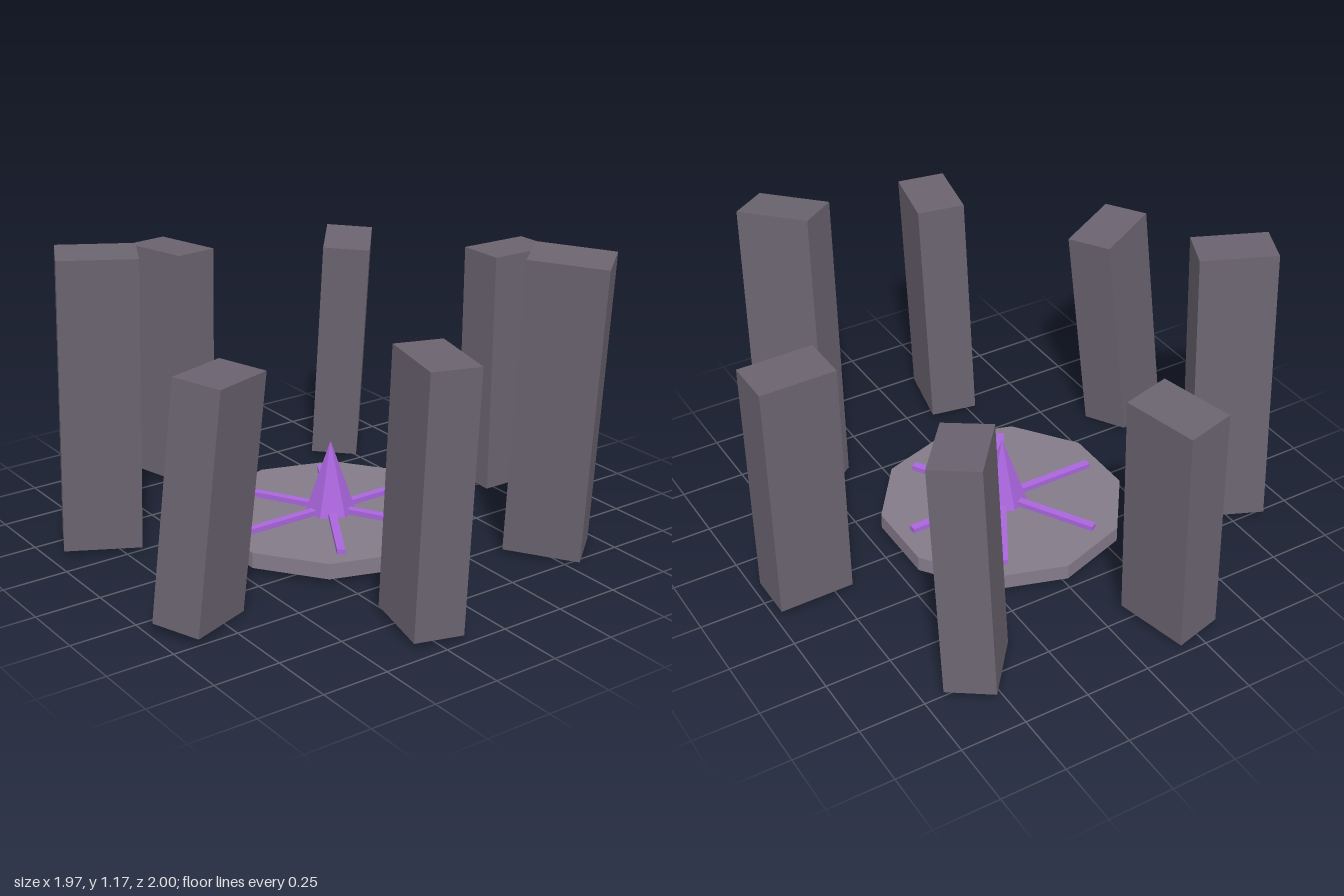
import * as THREE from 'three';

const CENTRE_X = -0.01;
const stoneMat = new THREE.MeshStandardMaterial({ color: 0x6b6470 });
const slabMat = new THREE.MeshStandardMaterial({ color: 0x857b8a });
const glowMat = new THREE.MeshStandardMaterial({ color: 0xaa66dd });
for (const m of [stoneMat, slabMat, glowMat]) m.flatShading = true;

function addMesh(parent, name, geometry, material) {
  const mesh = new THREE.Mesh(geometry, material);
  mesh.name = name;
  parent.add(mesh);
  return mesh;
}

// Base centre [x, z], top centre [x, z] and top height of each leaning stone
const STONES = [
  { base: [0.83, 0], top: [0.84, 0], height: 0.97 },
  { base: [0.535, 0.605], top: [0.497, 0.718], height: 1.16 },
  { base: [-0.215, 0.813], top: [-0.185, 0.835], height: 0.972 },
  { base: [-0.815, 0.356], top: [-0.722, 0.379], height: 0.887 },
  { base: [-0.776, -0.392], top: [-0.772, -0.342], height: 1.138 },
  { base: [-0.217, -0.815], top: [-0.18, -0.84], height: 0.947 },
  { base: [0.517, -0.7], top: [0.52, -0.62], height: 0.92 },
];
const UP = new THREE.Vector3(0, 1, 0);

export function createModel() {
  const model = new THREE.Group();
  model.name = 'stoneCircle';

  // Standing stones: long side points at the centre, each leaning its own way
  const ring = new THREE.Group();
  ring.name = 'standingStones';
  model.add(ring);
  STONES.forEach(({ base, top, height }, i) => {
    const foot = new THREE.Vector3(base[0], 0.02, base[1]);
    const head = new THREE.Vector3(top[0], height, top[1]);
    const axis = head.clone().sub(foot);
    const stone = addMesh(ring, `stone${i + 1}`, new THREE.BoxGeometry(0.287, axis.length(), 0.185), stoneMat);
    stone.position.copy(foot).lerp(head, 0.5);
    const yaw = new THREE.Quaternion().setFromAxisAngle(UP, -i * Math.PI * 2 / STONES.length);
    stone.quaternion.setFromUnitVectors(UP, axis.normalize()).multiply(yaw);
  });

  // Ten-sided altar slab
  const altar = new THREE.Group();
  altar.name = 'altar';
  altar.position.x = CENTRE_X;
  model.add(altar);
  addMesh(altar, 'slab', new THREE.CylinderGeometry(0.472, 0.472, 0.06, 10), slabMat).position.y = 0.05;

  // Six glowing spokes
  for (let i = 0; i < 6; i++) {
    const spoke = addMesh(altar, `spoke${i + 1}`, new THREE.BoxGeometry(0.395, 0.03, 0.03), glowMat);
    const a = i * Math.PI / 3;
    spoke.position.set(Math.cos(a) * 0.1975, 0.085, -Math.sin(a) * 0.1975);
    spoke.rotation.y = a;
  }

  // Central crystal spike
  addMesh(altar, 'crystal', new THREE.ConeGeometry(0.095, 0.28, 6), glowMat).position.y = 0.22;

  return model;
}
